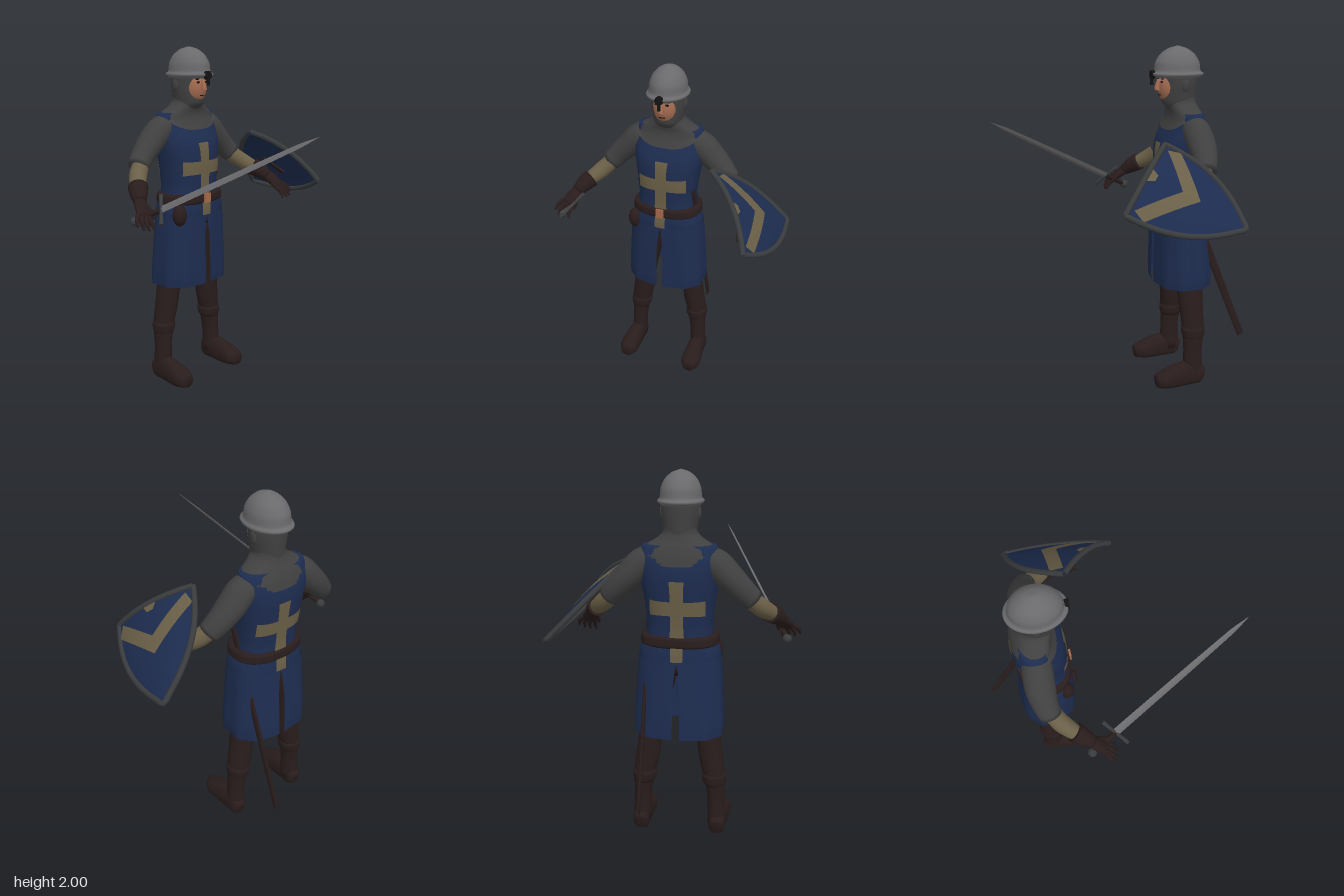
import * as THREE from 'three';
import { ParametricGeometry } from 'three/addons/geometries/ParametricGeometry.js';

const V = (x, y, z) => new THREE.Vector3(x, y, z);
const mat = (name, color, side = THREE.FrontSide) => {
  const m = new THREE.MeshStandardMaterial({ color, side });
  m.name = name;
  return m;
};
const spow = (v, e) => Math.sign(v) * Math.abs(v) ** e;

// Two curves through [x, y, z, rx, rz] sections: centres and radii
const curves = (secs) => [
  new THREE.CatmullRomCurve3(secs.map((s) => V(s[0], s[1], s[2]))),
  new THREE.CatmullRomCurve3(secs.map((s) => V(s[3], s[4], 0))),
];

// Skin through elliptical sections; ref sets the rz axis of rings square to the path
function loft(secs, { seg = 24, steps = secs.length * 3, e = 1, ref = null, arc = null, cap = true, mod = null, flat = false } = {}) {
  const [c, r] = curves(secs), pos = [], idx = [];
  const cols = arc ? seg + 1 : seg, [a0, a1] = arc || [0, Math.PI * 2];
  const ring = (t, k) => {
    const p = c.getPoint(t), q = r.getPoint(t), T = ref ? c.getTangent(t) : V(0, 1, 0);
    const Z = (ref || V(0, 0, 1)).clone().addScaledVector(T, -(ref || V(0, 0, 1)).dot(T)).normalize();
    const X = T.clone().cross(Z);
    for (let j = 0; j < cols; j++) {
      const a = a0 + (a1 - a0) * j / seg;
      const o = p.clone().addScaledVector(X, k * q.x * spow(Math.sin(a), e)).addScaledVector(Z, k * q.y * spow(Math.cos(a), e));
      if (mod) mod(o, a, t);
      pos.push(o.x, o.y, o.z);
    }
  };
  const capped = cap && !arc;
  if (capped) ring(0, 0);
  for (let i = 0; i <= steps; i++) ring(i / steps, 1);
  if (capped) ring(1, 0);
  const rows = pos.length / 3 / cols;
  for (let i = 0; i < rows - 1; i++) for (let j = 0; j < seg; j++) {
    const n = (j + 1) % cols, A = i * cols + j, B = i * cols + n, C = A + cols, D = B + cols;
    idx.push(A, B, D, A, D, C);
  }
  let g = new THREE.BufferGeometry();
  g.setAttribute('position', new THREE.Float32BufferAttribute(pos, 3));
  g.setIndex(idx);
  if (flat) g = g.toNonIndexed();
  g.computeVertexNormals();
  return g;
}

// Thin cloth patch lying on the front (s = 1) or back (s = -1) of a lofted body
function patch(secs, e, s, y0, y1, hw, flare = 0) {
  const [c, r] = curves(secs);
  return new ParametricGeometry((u, v, out) => {
    const k = s * (2 * u - 1), w = 2 * v - 1;
    const y = (y0 + y1) / 2 + w * (y1 - y0) / 2 * (1 + (hw > 0.1 ? flare * k ** 4 : 0));
    const x = k * hw * (1 + (hw > 0.1 ? 0 : flare * w ** 4));
    let lo = 0, hi = 1;
    for (let i = 0; i < 24; i++) { const m = (lo + hi) / 2; if (c.getPoint(m).y < y) lo = m; else hi = m; }
    const p = c.getPoint(lo), q = r.getPoint(lo);
    const sn = Math.min(1, Math.abs(x / q.x)) ** (1 / e);
    out.set(x, y, p.z + s * (q.y * Math.sqrt(1 - sn * sn) ** e + 0.005));
  }, 16, 16);
}

export function createModel() {
  const D = THREE.DoubleSide;
  const blue = mat('blue cloth', 0x1d2c4f, D), tan = mat('tan cloth', 0x6a5f47, D);
  const mail = mat('grey mail', 0x404040, D), steel = mat('steel', 0x6a6a6c);
  const leather = mat('brown leather', 0x291d1c), skin = mat('skin', 0xa56c52);
  const brass = mat('copper buckle', 0xa5694a), black = mat('black', 0x141414), iron = mat('dark iron', 0x393b3d);
  const root = new THREE.Group(), body = new THREE.Group();
  root.name = 'knight';
  body.name = 'body';
  body.position.x = -0.06;
  root.add(body);
  const add = (name, geo, m, parent = body) => {
    const o = new THREE.Mesh(geo, m);
    o.name = name;
    parent.add(o);
    return o;
  };
  const ball = (name, m, x, y, z, rx, ry, rz) =>
    add(name, new THREE.SphereGeometry(1, 20, 14).scale(rx, ry, rz).translate(x, y, z), m);
  const box = (name, m, w, h, d, x, y, z) => add(name, new THREE.BoxGeometry(w, h, d).translate(x, y, z), m);

  // Tabard torso and skirt
  const torso = [[0, 1.09, -0.335, 0.188, 0.136], [0, 1.2, -0.335, 0.174, 0.132], [0, 1.33, -0.338, 0.186, 0.138],
    [0, 1.45, -0.348, 0.205, 0.137], [0, 1.55, -0.368, 0.212, 0.108], [0, 1.63, -0.368, 0.19, 0.078]];
  add('tabard torso', loft(torso, { seg: 40, e: 0.8 }), blue);
  const top = [[0, 1.015, -0.338, 0.219, 0.146], [0, 1.06, -0.336, 0.217, 0.146], [0, 1.13, -0.335, 0.198, 0.139]];
  add('skirt top', loft(top, { seg: 40, e: 0.8, cap: false }), blue);
  const hem = [[0, 0.605, -0.353, 0.24, 0.168], [0, 0.66, -0.351, 0.244, 0.169], [0, 0.8, -0.346, 0.237, 0.163], [0, 0.95, -0.34, 0.228, 0.154], [0, 1.03, -0.337, 0.221, 0.149]];
  for (const s of [0, Math.PI]) {
    add('skirt panel', loft(hem, {
      seg: 40, e: 0.8, arc: [s + 0.001, s + Math.PI - 0.001],
      mod: (p, a, t) => {
        const w = 1 + 0.02 * (1 - t) * Math.cos(a * 10), gap = 0.019 * Math.min(1, 2.6 * (1 - t));
        p.x *= w;
        p.z = -0.35 + (p.z + 0.35) * w;
        p.x = (s ? -1 : 1) * Math.max(Math.abs(p.x), gap);
      },
    }), blue);
  }
  add('breeches seat', loft([[0, 0.93, -0.34, 0.1, 0.07], [0, 0.97, -0.34, 0.17, 0.11], [0, 1.08, -0.335, 0.17, 0.12]], { e: 0.9 }), leather);
  // Crosses on chest and back, with the tail below the belt
  for (const s of [1, -1]) {
    add('cross upright', patch(torso, 0.8, s, 1.15, 1.457, 0.034, 0.15), tan);
    add('cross bar', patch(torso, 0.8, s, 1.275, 1.35, 0.145, 0.12), tan);
    add('cross tail', patch(top, 0.8, s, 1.03, 1.12, 0.032), tan);
  }
  // Belt, buckle and pouch
  add('belt', loft([[0, 1.1, -0.335, 0.2, 0.143], [0, 1.112, -0.335, 0.211, 0.151], [0, 1.15, -0.335, 0.206, 0.15], [0, 1.16, -0.335, 0.185, 0.135]], { seg: 40, e: 0.82 }), leather);
  box('buckle', brass, 0.047, 0.055, 0.012, 0, 1.132, -0.181);
  ball('pouch', leather, -0.175, 1.045, -0.235, 0.044, 0.064, 0.04);

  // Mail collar and hood
  add('mail collar', loft([[0, 1.53, -0.362, 0.206, 0.12], [0, 1.58, -0.367, 0.203, 0.104], [0, 1.62, -0.363, 0.183, 0.093],
    [0, 1.655, -0.35, 0.125, 0.088], [0, 1.69, -0.34, 0.088, 0.086], [0, 1.73, -0.335, 0.082, 0.086]], {
    seg: 40, e: 0.9, cap: false,
    mod: (p, a, t) => { p.y += 0.06 * Math.min(1, Math.abs(p.x) / 0.19) ** 3 * Math.max(0, 1 - 4 * t); },
  }), mail);
  add('mail hood', loft([[0, 1.65, -0.34, 0.08, 0.08], [0, 1.68, -0.33, 0.083, 0.098], [0, 1.72, -0.327, 0.09, 0.102],
    [0, 1.79, -0.328, 0.1, 0.103], [0, 1.86, -0.325, 0.1, 0.105]]), mail);
  // Face
  ball('face', skin, 0, 1.775, -0.275, 0.071, 0.1, 0.069);
  add('nose', loft([[0, 1.752, -0.202, 0.015, 0.016], [0, 1.762, -0.198, 0.014, 0.017], [0, 1.815, -0.21, 0.008, 0.012]], { seg: 12 }), skin);
  box('mouth', black, 0.034, 0.005, 0.006, 0, 1.727, -0.214);
  for (const s of [-1, 1]) {
    ball('eye', black, s * 0.03, 1.802, -0.215, 0.013, 0.006, 0.005);
    box('eyebrow', black, 0.03, 0.006, 0.006, s * 0.03, 1.819, -0.22);
    ball('ear cover', mail, s * 0.096, 1.785, -0.335, 0.012, 0.035, 0.024);
  }
  // Helmet with nose guard
  add('helmet', loft([[0, 1.825, -0.318, 0.105, 0.136], [0, 1.833, -0.318, 0.11, 0.142], [0, 1.855, -0.318, 0.11, 0.142], [0, 1.864, -0.318, 0.107, 0.136],
    [0, 1.905, -0.318, 0.103, 0.131], [0, 1.95, -0.318, 0.084, 0.104], [0, 1.985, -0.318, 0.047, 0.058], [0, 2, -0.318, 0.004, 0.005]], { seg: 32 }), steel);
  box('nose guard', black, 0.014, 0.075, 0.016, 0, 1.822, -0.165);
  add('nose guard boss', new THREE.CylinderGeometry(0.024, 0.024, 0.022, 16).rotateX(Math.PI / 2).translate(0, 1.842, -0.169), black);

  // Arms, gloves, legs and boots, once per side
  const S = V(0.75, 0.2, -0.15).normalize(), T = V(0.3, -0.7, 0.55).normalize();
  for (const s of [-1, 1]) {
    const m = (rows) => rows.map(([x, ...r]) => [x * s, ...r]);
    const up = { ref: V(0, 0, 1) }, across = { ref: V(S.x * s, S.y, S.z) };
    add('mail sleeve', loft(m([[0.11, 1.56, -0.368, 0.065, 0.07], [0.19, 1.53, -0.37, 0.08, 0.08], [0.26, 1.466, -0.374, 0.074, 0.08],
      [0.325, 1.4, -0.368, 0.067, 0.07], [0.38, 1.342, -0.35, 0.06, 0.06]]), up), mail);
    add('forearm', loft(m([[0.33, 1.385, -0.365, 0.045, 0.045], [0.415, 1.303, -0.31, 0.05, 0.05], [0.49, 1.24, -0.225, 0.04, 0.04]]), up), tan);
    add('glove cuff', loft(m([[0.472, 1.255, -0.245, 0.056, 0.056], [0.502, 1.228, -0.205, 0.049, 0.049], [0.53, 1.195, -0.163, 0.035, 0.035]]), up), leather);
    add('palm', loft(m([[0.522, 1.205, -0.175, 0.028, 0.032], [0.545, 1.17, -0.132, 0.025, 0.043], [0.563, 1.135, -0.093, 0.017, 0.041]]), across), leather);
    for (let i = 0; i < 4; i++) {
      const b = V(0.56, 1.143, -0.1).addScaledVector(S, (i - 1.5) * 0.022);
      const e = b.clone().addScaledVector(T, i % 3 ? 0.1 : 0.085).addScaledVector(S, (i - 1.5) * 0.012);
      const k = b.clone().lerp(e, 0.55).add(V(0.008, 0.006, 0));
      add('finger', loft(m([[...b, 0.012, 0.013], [...k, 0.012, 0.012], [...e, 0.006, 0.006]]), { ...across, seg: 10 }), leather);
    }
    add('thumb', loft(m([[0.528, 1.19, -0.14, 0.014, 0.015], [0.512, 1.15, -0.1, 0.013, 0.013], [0.514, 1.115, -0.07, 0.007, 0.007]]), { ...across, seg: 10 }), leather);
    add('leg', loft(m([[0.212, 0.05, -0.374, 0.05, 0.06], [0.207, 0.2, -0.372, 0.048, 0.057], [0.196, 0.34, -0.375, 0.06, 0.066], [0.177, 0.45, -0.37, 0.067, 0.071],
      [0.157, 0.6, -0.362, 0.065, 0.08], [0.125, 0.85, -0.35, 0.085, 0.1], [0.1, 1.05, -0.34, 0.085, 0.1]])), leather);
    add('boot cuff', loft(m([[0.199, 0.295, -0.375, 0.056, 0.062], [0.196, 0.315, -0.375, 0.065, 0.069], [0.194, 0.35, -0.375, 0.068, 0.073], [0.193, 0.364, -0.375, 0.062, 0.068]])), leather);
    add('boot foot', loft(m([[0.215, 0.045, -0.437, 0.025, 0.04], [0.215, 0.05, -0.42, 0.044, 0.06], [0.215, 0.065, -0.34, 0.05, 0.08], [0.218, 0.055, -0.25, 0.056, 0.072],
      [0.22, 0.045, -0.18, 0.06, 0.052], [0.22, 0.04, -0.135, 0.036, 0.036]]), {
      ref: V(0, 1, 0), e: 0.85, mod: (p) => { p.y = Math.max(0.003, p.y); },
    }), leather);
  }

  // Scabbard hanging behind the left hip
  add('scabbard', loft([[0.11, 0.255, -0.705, 0.008, 0.022], [0.112, 0.8, -0.48, 0.01, 0.024], [0.115, 1.27, -0.285, 0.011, 0.024]], { ref: V(0, 0, 1), seg: 12 }), leather, root);

  // Sword in the right hand
  const sword = new THREE.Group();
  sword.name = 'sword';
  root.add(sword);
  const G = V(0.11, 0.128, -0.12).normalize(), hilt = V(-0.56, 1.168, -0.03), tip = V(-0.214, 1.585, 0.73);
  const at = (k) => hilt.clone().lerp(tip, k);
  add('blade', loft([[...hilt, 0.007, 0.024], [...at(0.45), 0.006, 0.021], [...at(0.88), 0.005, 0.015], [...tip, 0.0005, 0.001]], { ref: G, seg: 4, flat: true }), steel, sword);
  const gA = hilt.clone().addScaledVector(G, -0.1), gB = hilt.clone().addScaledVector(G, 0.1);
  add('crossguard', loft([[...gA, 0.012, 0.012], [...hilt, 0.009, 0.009], [...gB, 0.012, 0.012]], { ref: V(0, 0, 1), seg: 10 }), iron, sword);
  add('grip', loft([[...at(-0.17), 0.013, 0.013], [...at(-0.08), 0.015, 0.015], [...hilt, 0.013, 0.013]], { ref: G, seg: 12 }), leather, sword);
  add('pommel', new THREE.SphereGeometry(0.026, 16, 12).translate(...at(-0.185)), iron, sword);

  // Shield on the left arm: local y runs up to its top edge, z outwards
  const shield = new THREE.Group();
  shield.name = 'shield';
  root.add(shield);
  const W = 0.2585, H = 0.577;
  const X = V(-0.285, 0.3, -0.31).normalize(), Z = V(0.715, 0.7, 0.02);
  Z.addScaledVector(X, -Z.dot(X)).normalize();
  shield.quaternion.setFromRotationMatrix(new THREE.Matrix4().makeBasis(X, Z.clone().cross(X), Z));
  shield.position.set(0.405, 1.345, 0.022);
  const half = (v) => W * (1 - v ** 2.6);
  const face = (x, v, off = 0) => {
    const u = Math.min(1, Math.abs(x) / Math.max(1e-4, half(v)));
    return V(x, -H * v, 0.045 * (1 - u * u) * (1 - v * v) + off);
  };
  const sheet = (name, m, fn) => add(name, new ParametricGeometry((u, v, o) => o.copy(fn(1 - 2 * u, v)), 24, 20), m, shield);
  sheet('shield board', blue, (u, v) => face(u * half(v), v));
  sheet('shield chevron', tan, (u, v) => {
    const k = Math.abs(u);
    return face(u * W * (0.84 + 0.12 * v), 0.35 - 0.3 * k + v * (0.18 - 0.06 * k), 0.005);
  });
  sheet('shield top mark', tan, (u, v) => face(u * 0.05 * (1 - v * 0.6), v * 0.09, 0.005));
  const side = [], edge = [];
  for (let i = -16; i <= 16; i++) {
    const v = 1 - Math.abs(i) / 16;
    side.push(face(Math.sign(i) * half(v), v));
    edge.push(face(i / 16 * W, 0));
  }
  for (const [name, pts] of [['shield side rim', side], ['shield top rim', edge]])
    add(name, new THREE.TubeGeometry(new THREE.CatmullRomCurve3(pts), 64, 0.016, 8), iron, shield);
  for (const y of [-0.2, -0.32]) add('shield strap', new THREE.BoxGeometry(0.16, 0.03, 0.012).translate(0, y, 0.002), leather, shield);
  return root;
}
